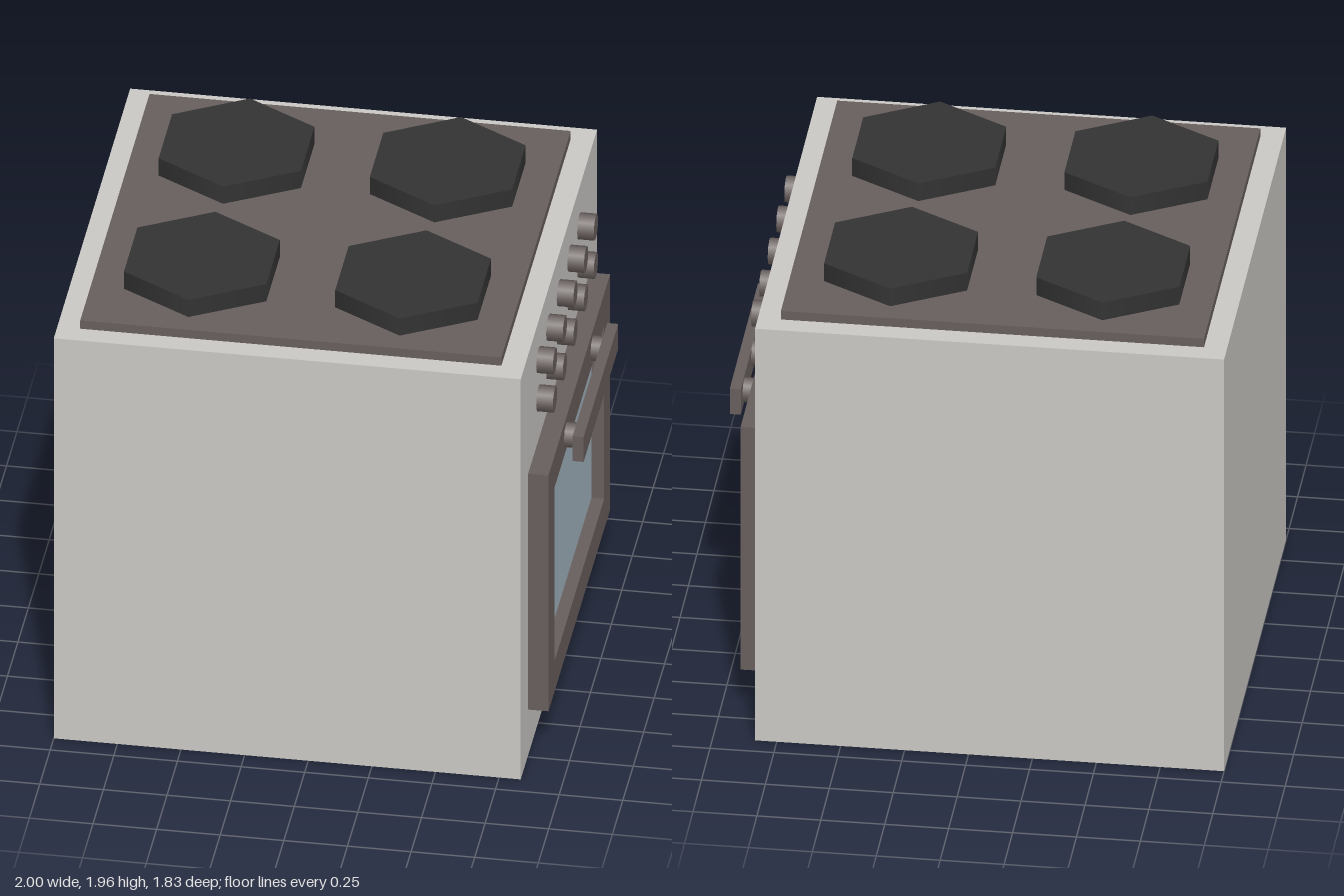
import * as THREE from 'three';

export function createModel() {
  const stove = new THREE.Group();
  stove.name = 'stove';

  const paint = (name, color) => {
    const m = new THREE.MeshStandardMaterial({ color });
    m.name = name;
    return m;
  };
  const enamel = paint('light grey enamel', 0xc9c7c3);
  const trim = paint('brown trim', 0x675e5c);
  const iron = paint('dark iron', 0x333333);
  const glass = paint('blue glass', 0xa2b2bd);

  const add = (name, geometry, material, x = 0, y = 0, z = 0) => {
    const mesh = new THREE.Mesh(geometry, material);
    mesh.name = name;
    mesh.position.set(x, y, z);
    stove.add(mesh);
    return mesh;
  };
  // Box given by its limits in x and y, centred on z = 0
  const slab = (name, x0, x1, y0, y1, depth, material) =>
    add(name, new THREE.BoxGeometry(x1 - x0, y1 - y0, depth), material, (x0 + x1) / 2, (y0 + y1) / 2);
  // Eight-sided peg lying along x
  const peg = (radius, length) =>
    new THREE.CylinderGeometry(radius, radius, length, 8).rotateZ(-Math.PI / 2);

  // Cabinet and cooktop
  slab('body', -1, 0.835, 0, 1.838, 1.83, enamel);
  slab('cooktop', -0.91, 0.745, 1.838, 1.876, 1.66, trim);

  // Four hexagonal burners
  const burner = new THREE.CylinderGeometry(0.323, 0.323, 0.08, 6);
  for (const x of [-0.5, 0.33])
    for (const z of [-0.415, 0.415]) add('burner', burner, iron, x, 1.915, z);

  // Two rows of control knobs
  const knob = peg(0.054, 0.065);
  for (const y of [1.487, 1.663])
    for (const z of [-0.49, -0.253, 0, 0.253, 0.49]) add('knob', knob, trim, 0.8675, y, z);

  // Oven door frame with a window opening
  const rectangle = (path, w, y0, y1) =>
    path.moveTo(-w, y0).lineTo(w, y0).lineTo(w, y1).lineTo(-w, y1).closePath();
  const outline = new THREE.Shape();
  rectangle(outline, 0.738, 0.21, 1.293);
  const opening = new THREE.Path();
  rectangle(opening, 0.597, 0.35, 1.147);
  outline.holes.push(opening);
  const frame = new THREE.ExtrudeGeometry(outline, { depth: 0.08, bevelEnabled: false });
  add('doorFrame', frame.rotateY(Math.PI / 2), trim, 0.835);
  slab('window', 0.835, 0.865, 0.35, 1.147, 1.194, glass);

  // Door handle on two posts
  const post = peg(0.051, 0.045);
  for (const z of [-0.317, 0.317]) add('handlePost', post, trim, 0.936, 1.219, z);
  slab('handle', 0.957, 1, 1.162, 1.276, 0.83, trim);

  return stove;
}
